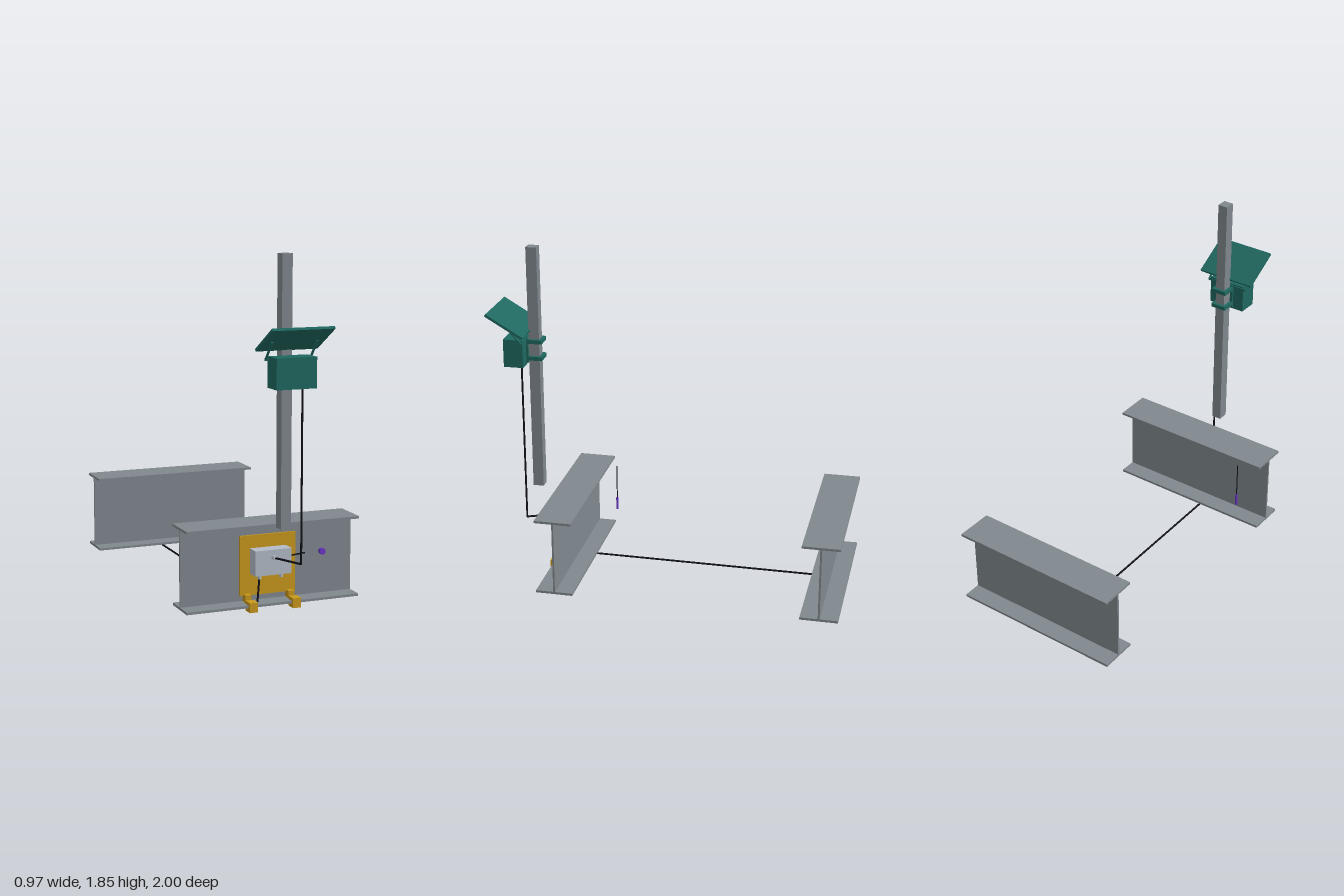
import * as THREE from 'three';

const mat = (color) => new THREE.MeshStandardMaterial({ color });
const steel = mat(0x80888e), green = mat(0x1f6860), yellow = mat(0xc8981c), pale = mat(0xb4bcc8),
  purple = mat(0x6a35c8), rust = mat(0x8a3a14), black = mat(0x111118);

export function createModel() {
  const model = new THREE.Group();

  const add = (name, geometry, material, parent = model) => {
    const mesh = new THREE.Mesh(geometry, material);
    mesh.name = name;
    parent.add(mesh);
    return mesh;
  };
  // Box given by its minimum and maximum on each axis
  const box = (name, material, [x0, x1], [y0, y1], [z0, z1], parent) => {
    const mesh = add(name, new THREE.BoxGeometry(x1 - x0, y1 - y0, z1 - z0), material, parent);
    mesh.position.set((x0 + x1) / 2, (y0 + y1) / 2, (z0 + z1) / 2);
    return mesh;
  };
  // Round rod between two points
  const rod = (name, material, a, b, r, parent, sides = 12) => {
    const p = new THREE.Vector3(...a), d = new THREE.Vector3(...b).sub(p);
    const mesh = add(name, new THREE.CylinderGeometry(r, r, d.length(), sides), material, parent);
    mesh.position.copy(p).addScaledVector(d, 0.5);
    mesh.quaternion.setFromUnitVectors(new THREE.Vector3(0, 1, 0), d.normalize());
    return mesh;
  };
  // Cable with straight runs and sharp bends
  const cable = (name, points, r) => {
    const group = new THREE.Group();
    group.name = name;
    model.add(group);
    for (let i = 1; i < points.length; i++) {
      rod('cableRun', black, points[i - 1], points[i], r, group, 8);
      if (i < points.length - 1) {
        add('cableBend', new THREE.SphereGeometry(r, 8, 6), black, group).position.set(...points[i]);
      }
    }
  };
  const group = (name) => {
    const g = new THREE.Group();
    g.name = name;
    model.add(g);
    return g;
  };

  // Two I-beams, each with a pad under the bottom flange
  for (const [name, z] of [['frontBeam', 0.558], ['rearBeam', -0.897]]) {
    const beam = group(name);
    const x = [-0.485, 0.485], depth = [z - 0.103, z + 0.103];
    box('bottomFlange', steel, x, [0.026, 0.039], depth, beam);
    box('web', steel, x, [0.039, 0.445], [z - 0.005, z + 0.005], beam);
    box('topFlange', steel, x, [0.445, 0.458], depth, beam);
    box('flangePad', rust, [-0.054, 0.054], [0.017, 0.026], [z - 0.027, z + 0.027], beam);
  }

  // Upright post
  box('post', steel, [-0.028, 0.028], [0.46, 1.85], [0.74, 0.80]);

  // Power box on the post with two wrap-around clamps
  const power = group('powerUnit');
  box('powerBox', green, [-0.109, 0.109], [1.19, 1.347], [0.81, 0.92], power);
  box('mountPlate', green, [-0.045, 0.045], [1.2, 1.34], [0.80, 0.811], power);
  for (const y of [1.225, 1.321]) {
    const h = [y - 0.011, y + 0.011];
    box('clampBack', green, [-0.045, 0.045], h, [0.722, 0.74], power);
    for (const s of [-1, 1]) {
      box('clampArm', green, [s * 0.0365 - 0.0085, s * 0.0365 + 0.0085], h, [0.722, 0.811], power);
    }
  }

  // Tilted solar panel and its struts
  const panel = add('solarPanel', new THREE.BoxGeometry(0.336, 0.014, 0.238), green, power);
  panel.position.set(0, 1.437, 0.895);
  panel.rotation.x = -Math.atan2(0.12, 0.205);
  for (const x of [-0.122, 0.122]) {
    rod('panelStrut', green, [x, 1.33, 0.813], [x, 1.425, 0.895], 0.006, power, 8);
  }
  box('strutCrossbar', green, [-0.125, 0.125], [1.325, 1.338], [0.806, 0.818], power);

  // Mounting plate with beam clamps
  const mount = group('sensorMount');
  box('backPlate', yellow, [-0.157, 0.157], [0.068, 0.387], [0.562, 0.574], mount);
  for (const x of [-0.122, 0.122]) {
    box('flangeClamp', yellow, [x - 0.023, x + 0.023], [0.004, 0.056], [0.62, 0.678], mount);
    box('plateFoot', yellow, [x - 0.017, x + 0.017], [0.039, 0.078], [0.564, 0.607], mount);
  }

  // Sensor box with cable glands
  const sensor = group('sensorBox');
  box('housing', pale, [-0.102, 0.102], [0.185, 0.319], [0.573, 0.648], sensor);
  for (const x of [-0.062, 0.06]) rod('bottomGland', pale, [x, 0.187, 0.608], [x, 0.16, 0.608], 0.011, sensor);
  rod('frontGland', pale, [0, 0.278, 0.646], [0, 0.278, 0.673], 0.012, sensor);

  // Cables
  cable('powerCable', [[0.02, 1.187, 0.858], [0.072, 1.185, 0.83], [0.072, 0.279, 0.83], [0, 0.279, 0.665]], 0.0055);
  cable('spanCable', [[-0.062, 0.17, 0.608], [-0.075, 0.014, 0.608], [-0.075, 0.014, -0.84]], 0.0055);
  cable('probeCable', [[0.09, 0.268, 0.612], [0.217, 0.264, 0.563]], 0.004);

  // Small web sensor and hanging probe
  rod('webSensor', purple, [0.312, 0.265, 0.558], [0.312, 0.265, 0.585], 0.017);
  rod('probeWire', black, [-0.365, 0.24, 0.412], [-0.365, 0.447, 0.412], 0.003, model, 8);
  rod('hangingProbe', purple, [-0.365, 0.172, 0.412], [-0.365, 0.244, 0.412], 0.007);

  return model;
}
